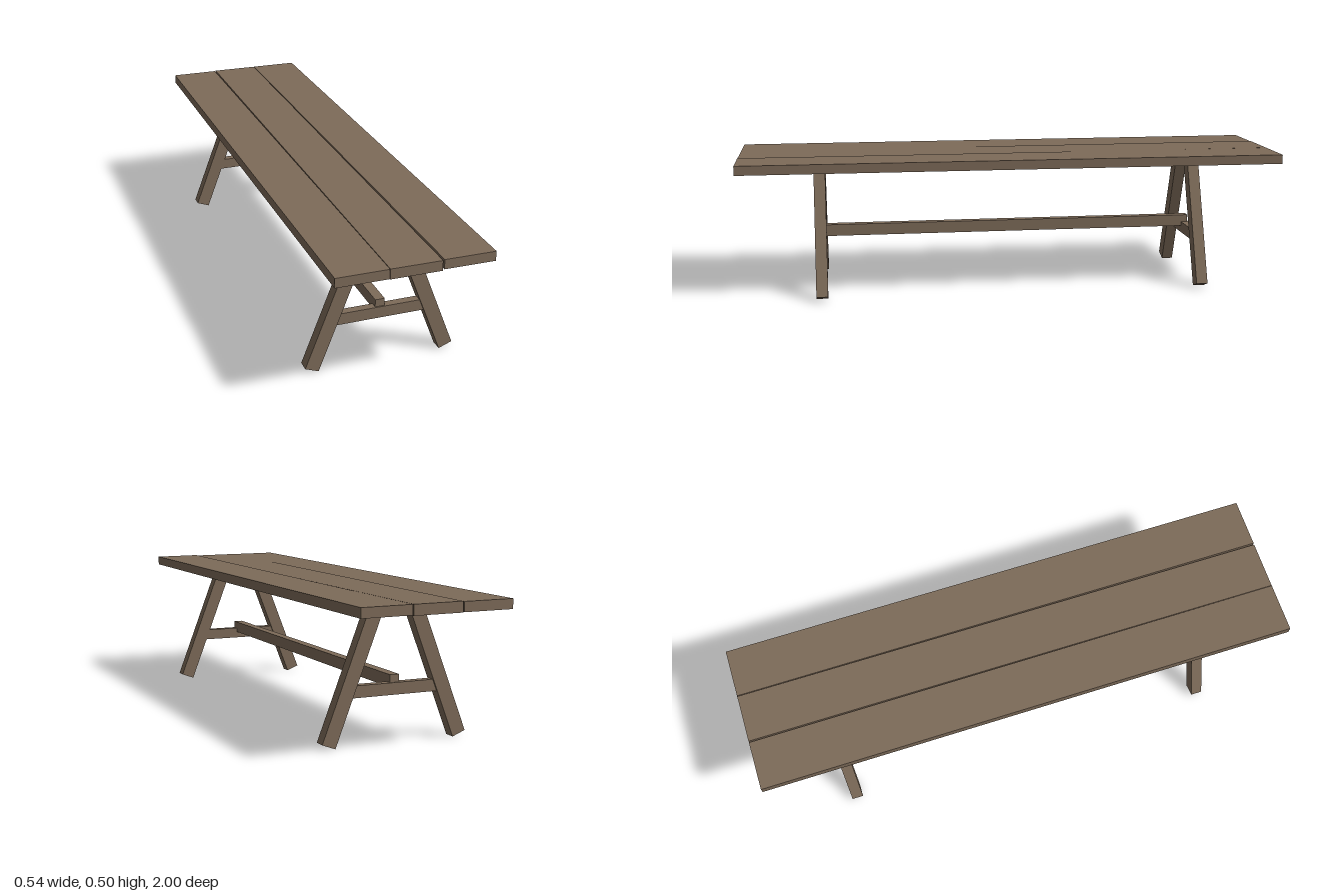
import * as THREE from 'three';

export function createModel() {
  const model = new THREE.Group();
  model.name = 'trestleTable';
  const wood = new THREE.MeshStandardMaterial({ color: 0x7d6b59 });
  wood.name = 'brown wood';

  function beam(name, size, position, rotation = [0, 0, 0], parent = model) {
    const mesh = new THREE.Mesh(new THREE.BoxGeometry(...size), wood);
    mesh.name = name;
    mesh.position.set(...position);
    mesh.rotation.set(...rotation);
    parent.add(mesh);
    return mesh;
  }

  // Three top planks, laid very slightly askew
  beam('rightPlank', [0.18, 0.034, 1.995], [-0.181, 0.4865, 0], [0, -0.0005, -0.004]);
  beam('middlePlank', [0.176, 0.036, 1.995], [0, 0.4855, 0], [0.0005, -0.002, -0.006]);
  beam('leftPlank', [0.178, 0.034, 1.995], [0.181, 0.4865, 0], [-0.0005, -0.0005, -0.006]);

  // A-frame trestles at both ends
  for (const end of [1, -1]) {
    const trestle = new THREE.Group();
    trestle.name = end > 0 ? 'frontTrestle' : 'backTrestle';
    trestle.position.z = end * 0.705;
    model.add(trestle);
    for (const side of [1, -1]) {
      beam(side > 0 ? 'leftLeg' : 'rightLeg', [0.051, 0.488, 0.042],
        [side * 0.1585, 0.239, 0], [0, 0, side * 0.367], trestle);
    }
    beam('crossbar', [0.32, 0.041, 0.03], [0, 0.1855, 0], [0, 0, 0], trestle);
  }

  // Long stretcher resting in the crossbars
  beam('stretcher', [0.034, 0.043, 1.43], [0, 0.2115, 0]);

  return model;
}
